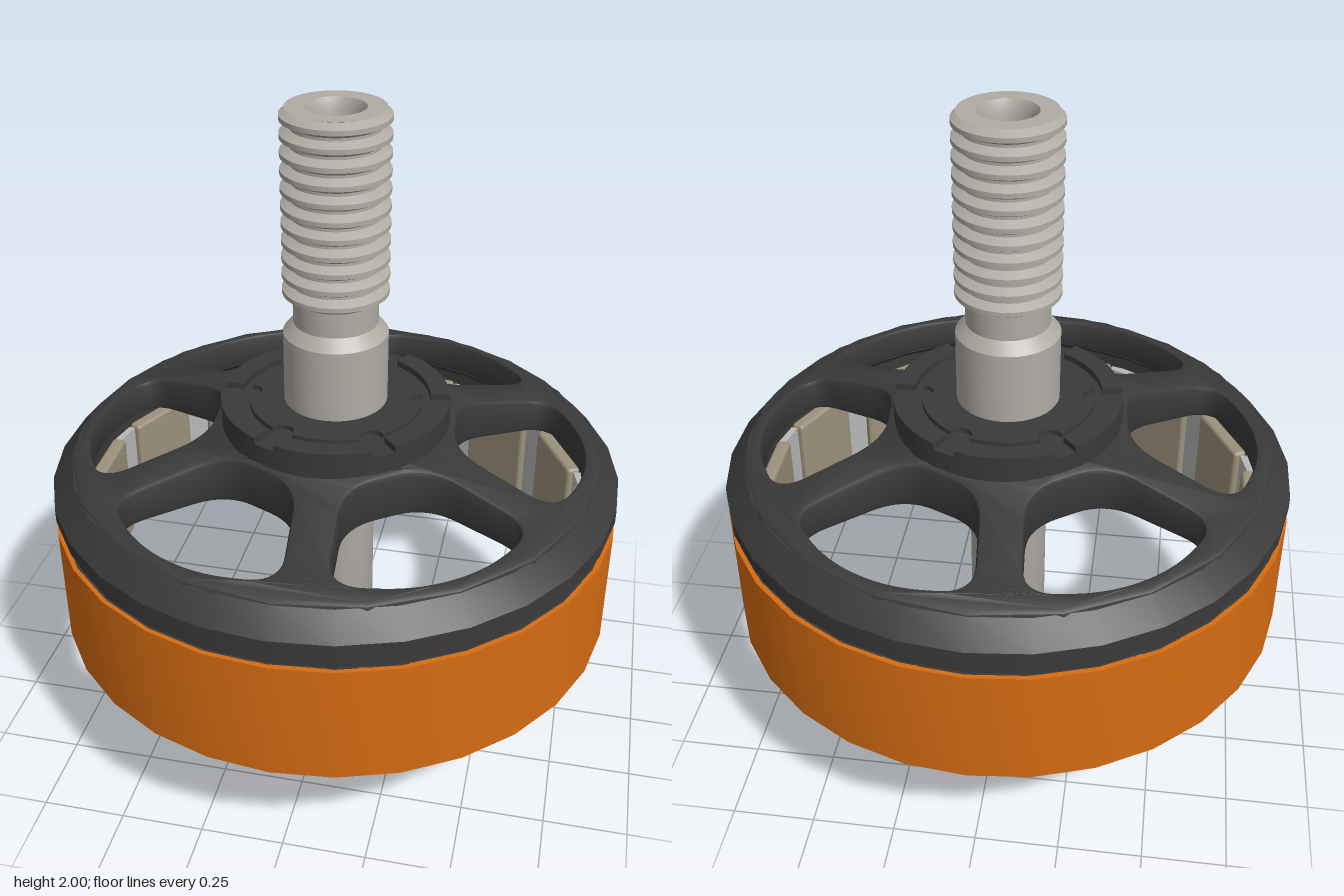
import * as THREE from 'three';
import { toCreasedNormals } from 'three/addons/utils/BufferGeometryUtils.js';
import { RoundedBoxGeometry } from 'three/addons/geometries/RoundedBoxGeometry.js';

const mat = (color) => new THREE.MeshStandardMaterial({ color });
const black = mat(0x3a3a3a), orange = mat(0xd66c12), steel = mat(0xb0aba4);
const magnetMat = mat(0x9c917c), glueMat = mat(0xb8b8b8), blue = mat(0x6a68cc);
const TAU = Math.PI * 2, TURN = THREE.MathUtils.degToRad(5.5);

function add(group, name, geometry, material) {
  const mesh = new THREE.Mesh(geometry, material);
  mesh.name = name;
  group.add(mesh);
  return mesh;
}

// Closed profile of [radius, y]: up the outside, down the inside
function lathe(points, segments) {
  const pts = [...points, points[0]].map(([r, y]) => new THREE.Vector2(r, y));
  return toCreasedNormals(new THREE.LatheGeometry(pts, segments), 0.5);
}

// Flat shape laid down on the ground plane, its underside at the given y
function slab(shape, y, depth, bevel = 0) {
  const geo = new THREE.ExtrudeGeometry(shape, {
    depth: depth - 2 * bevel, curveSegments: 10, bevelEnabled: bevel > 0,
    bevelSize: bevel, bevelThickness: bevel, bevelOffset: -bevel, bevelSegments: 2,
  });
  return geo.rotateX(-Math.PI / 2).translate(0, y + bevel, 0);
}

// Polygon with rounded corners, turned by an angle
function roundedPath(corners, radius, angle) {
  const path = new THREE.Path();
  const pts = corners.map(([x, y]) => new THREE.Vector2(x, y).rotateAround(new THREE.Vector2(), angle));
  pts.forEach((p, i) => {
    const toward = (q) => p.clone().add(q.clone().sub(p).setLength(Math.min(radius, p.distanceTo(q) * 0.48)));
    const a = toward(pts[(i + pts.length - 1) % pts.length]);
    const b = toward(pts[(i + 1) % pts.length]);
    if (i) path.lineTo(a.x, a.y); else path.moveTo(a.x, a.y);
    path.quadraticCurveTo(p.x, p.y, b.x, b.y);
  });
  path.closePath();
  return path;
}

// Hollow shaft: clip groove, plain length, boss, neck and threaded end
function buildShaft(group) {
  const profile = [
    [0.06, 0], [0.105, 0], [0.12, 0.015], [0.12, 0.04], [0.105, 0.04], [0.105, 0.07],
    [0.112, 0.07], [0.12, 0.085], [0.12, 1.08], [0.155, 1.08], [0.155, 1.335], [0.125, 1.37], [0.125, 1.445],
  ];
  const turns = 11, pitch = 0.555 / turns;
  for (let i = 0; i < turns; i++) {
    const y = 1.445 + i * pitch;
    profile.push([0.128, y + 0.004], [0.155, y + 0.018], [0.155, y + 0.032], [0.128, y + 0.046]);
  }
  profile.push([0.14, 2], [0.085, 2], [0.07, 1.97], [0.07, 1.93], [0.045, 1.9], [0.045, 0.03]);
  add(group, 'shaft', lathe(profile, 40), steel);
}

// Sloping deck with six windows between the spokes
function buildDeck(group) {
  const shape = new THREE.Shape().absarc(0, 0, 0.805, 0, TAU);
  shape.holes.push(new THREE.Path().absarc(0, 0, 0.25, 0, TAU, true));
  const win = [[0.365, -0.135], [0.66, -0.31], [0.755, -0.1], [0.755, 0.1], [0.66, 0.31], [0.365, 0.135]];
  for (let i = 0; i < 6; i++) shape.holes.push(roundedPath(win, 0.1, TURN + i * TAU / 6));
  const geo = slab(shape, 0, 1, 0.014);
  // Height 0..1 becomes the band between the underside and the sloping top
  const pos = geo.attributes.position;
  for (let i = 0; i < pos.count; i++) {
    const inward = 0.8 - Math.hypot(pos.getX(i), pos.getZ(i));
    const bottom = 0.85 + 0.1 * inward, top = 0.95 + 0.21 * inward;
    const h = pos.getY(i);
    // Keep the edge bevel at its true size near both faces
    pos.setY(i, h < 0.5 ? bottom + h : top - (1 - h));
  }
  geo.deleteAttribute('normal');
  geo.deleteAttribute('uv');
  add(group, 'spokedDeck', toCreasedNormals(geo, 0.6), black);
}

// Hub with a notched crown ring and a scalloped inner disc
function buildHub(group) {
  add(group, 'hub', lathe([
    [0.118, 0.78], [0.2, 0.78], [0.21, 0.79], [0.215, 0.83], [0.26, 0.88], [0.345, 0.91],
    [0.345, 1.1], [0.118, 1.1],
  ], 48), black);

  const half = 0.1;
  for (let i = 0; i < 6; i++) {
    const a = TURN + i * TAU / 6 + half, b = TURN + (i + 1) * TAU / 6 - half;
    const arc = new THREE.Shape().absarc(0, 0, 0.345, a, b, false).absarc(0, 0, 0.285, b, a, true);
    add(group, 'crownSegment', toCreasedNormals(slab(arc, 1.095, 0.025), 0.5), black);
  }

  const disc = new THREE.Shape(), R = 0.26, bite = 0.035;
  for (let i = 0; i < 6; i++) {
    const a = TURN + i * TAU / 6, w = bite / R;
    disc.absarc(R * Math.cos(a), R * Math.sin(a), bite, a - Math.PI / 2, a + Math.PI / 2, true);
    disc.absarc(0, 0, R, a + w, a + TAU / 6 - w, false);
  }
  disc.holes.push(new THREE.Path().absarc(0, 0, 0.15, 0, TAU, true));
  add(group, 'hubDisc', toCreasedNormals(slab(disc, 1.095, 0.02), 0.5), black);
}

// Outer rim, flux ring and coloured band
function buildRim(group) {
  add(group, 'rim', lathe([
    [0.785, 0.78], [0.845, 0.78], [0.845, 0.83], [0.865, 0.835], [0.865, 0.875],
    [0.803, 0.943], [0.765, 0.943], [0.765, 0.85], [0.785, 0.83],
  ], 30), black);
  add(group, 'fluxRing', lathe([[0.785, 0.412], [0.852, 0.412], [0.852, 0.785], [0.785, 0.785]], 30), black);
  add(group, 'band', lathe([[0.85, 0.41], [0.865, 0.41], [0.865, 0.785], [0.85, 0.785]], 30), orange);
}

// Fourteen magnets with filler strips between them
function buildMagnets(group) {
  const count = 14;
  const magnet = new RoundedBoxGeometry(0.045, 0.36, 0.25, 2, 0.012).translate(0.7525, 0.62, 0);
  const strip = new THREE.BoxGeometry(0.03, 0.34, 0.09).translate(0.775, 0.62, 0);
  for (let i = 0; i < count; i++) {
    const angle = 0.025 + i * TAU / count;
    add(group, 'magnet', magnet, magnetMat).rotation.y = angle;
    add(group, 'fillerStrip', strip, glueMat).rotation.y = angle + Math.PI / count;
  }
}

// Retaining clip: split ring with two drilled ears
function buildClip(group) {
  const shape = new THREE.Shape();
  shape.moveTo(0.103, 0.02);
  shape.lineTo(0.195, 0.02);
  shape.quadraticCurveTo(0.215, 0.02, 0.215, 0.045);
  shape.quadraticCurveTo(0.215, 0.09, 0.17, 0.095);
  shape.quadraticCurveTo(0.14, 0.098, 0.11, 0.109);
  shape.absarc(0, 0, 0.155, 0.78, TAU - 0.78, false);
  shape.quadraticCurveTo(0.14, -0.098, 0.17, -0.095);
  shape.quadraticCurveTo(0.215, -0.09, 0.215, -0.045);
  shape.quadraticCurveTo(0.215, -0.02, 0.195, -0.02);
  shape.lineTo(0.103, -0.02);
  shape.absarc(0, 0, 0.105, -0.19, 0.19 - TAU, true);
  for (const s of [-1, 1]) shape.holes.push(new THREE.Path().absarc(0.172, s * 0.056, 0.02, 0, TAU, true));
  add(group, 'retainingClip', toCreasedNormals(slab(shape, 0.045, 0.02), 0.5), blue);
}

export function createModel() {
  const model = new THREE.Group();
  model.name = 'motorRotor';
  const parts = { shaft: buildShaft, deck: buildDeck, hubAssembly: buildHub, rimAssembly: buildRim, magnets: buildMagnets, clip: buildClip };
  for (const [name, build] of Object.entries(parts)) {
    const group = new THREE.Group();
    group.name = name;
    build(group);
    model.add(group);
  }
  return model;
}
